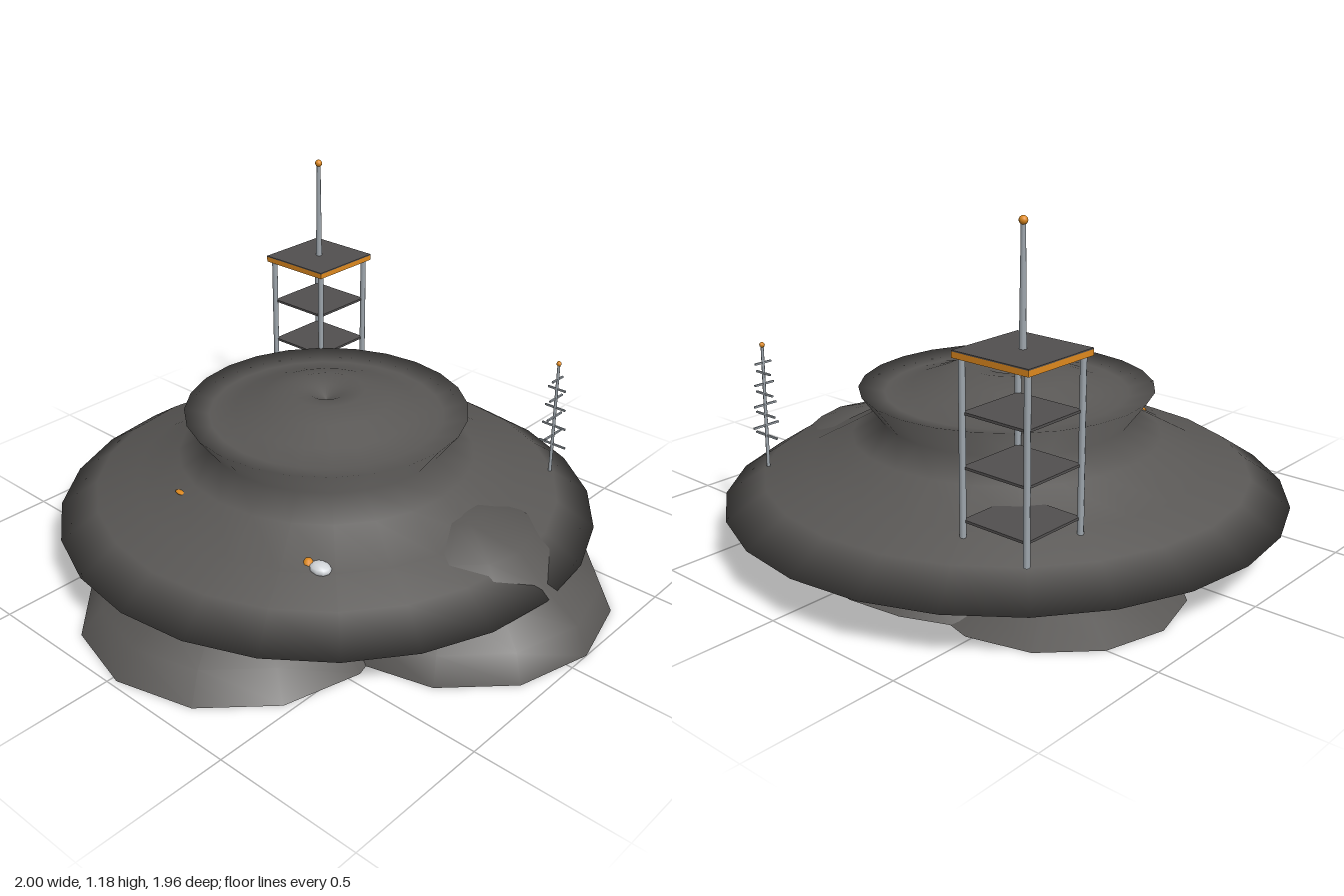
import * as THREE from 'three';

function material(name, color, side = THREE.FrontSide) {
  const m = new THREE.MeshStandardMaterial({ color, side });
  m.name = name;
  return m;
}

export function createModel() {
  const model = new THREE.Group();
  model.name = 'saucerStation';
  const hullGrey = material('hullGrey', 0x595755, THREE.DoubleSide);
  const deckGrey = material('deckGrey', 0x525050);
  const steel = material('steel', 0xa0a8af);
  const white = material('white', 0xd4d8dc);
  const orange = material('orange', 0xe08a1e);

  function add(parent, name, geometry, mat, x = 0, y = 0, z = 0) {
    const mesh = new THREE.Mesh(geometry, mat);
    mesh.name = name;
    mesh.position.set(x, y, z);
    parent.add(mesh);
    return mesh;
  }
  function group(name, x, y, z) {
    const g = new THREE.Group();
    g.name = name;
    g.position.set(x, y, z);
    model.add(g);
    return g;
  }
  const post = (r0, r1, h) => new THREE.CylinderGeometry(r1, r0, h, 8);
  const lathe = (points, sides) =>
    new THREE.LatheGeometry(points.map(([r, y]) => new THREE.Vector2(r, y)), sides);

  // Hollow saucer hull: flared foot, wide rim, flared collar and dimpled crown
  add(model, 'saucerHull', lathe([
    [0.71, 0], [0.66, 0.05], [0.62, 0.085], [0.93, 0.15], [0.80, 0.235], [0.66, 0.272],
    [0.51, 0.355], [0.41, 0.41], [0.485, 0.51], [0.40, 0.492], [0.31, 0.515], [0.22, 0.55],
    [0.13, 0.575], [0.06, 0.565], [0, 0.535],
  ], 24), hullGrey, -0.07, 0, -0.055);

  // Three hollow mounds around the foot
  add(model, 'rightMound', lathe([
    [0.51, 0], [0.47, 0.09], [0.34, 0.17], [0.24, 0.26], [0.08, 0.31], [0, 0.315],
  ], 12), hullGrey, 0.49, 0, -0.08);
  add(model, 'frontMound', lathe([
    [0.52, 0], [0.45, 0.085], [0.32, 0.135], [0.2, 0.22], [0.08, 0.28], [0, 0.287],
  ], 12), hullGrey, 0.02, 0, 0.46);
  add(model, 'rearMound', lathe([
    [0.4, 0], [0.29, 0.05], [0.2, 0.09], [0, 0.12],
  ], 12), hullGrey, -0.48, 0, -0.3);

  // Ribbed thrusters with orange collars under the hull
  for (const [x, y, z] of [[0.285, 0.18, -0.05], [-0.28, 0.15, -0.44]]) {
    const thruster = group('thruster', x, y, z);
    add(thruster, 'thrusterCore', new THREE.CylinderGeometry(0.1, 0.1, 0.17, 20), deckGrey, 0, 0.085, 0);
    for (let i = 0; i < 14; i++) {
      const a = (i / 14) * Math.PI * 2;
      const rib = add(thruster, 'thrusterRib', new THREE.BoxGeometry(0.034, 0.17, 0.02), white,
        Math.sin(a) * 0.108, 0.085, Math.cos(a) * 0.108);
      rib.rotation.y = a;
    }
    const collar = new THREE.TorusGeometry(0.125, 0.015, 8, 24);
    collar.rotateX(Math.PI / 2);
    add(thruster, 'thrusterCollar', collar, orange);
  }

  // Small lights breaking through the front of the hull
  const lamp = new THREE.SphereGeometry(0.04, 10, 6);
  lamp.scale(1, 0.5, 0.8);
  add(model, 'lamp', lamp, white, 0.345, 0.278, 0.425);
  add(model, 'lampCap', new THREE.SphereGeometry(0.02, 8, 6), orange, 0.304, 0.28, 0.434);
  const marker = new THREE.SphereGeometry(0.024, 8, 6);
  marker.scale(1, 0.25, 0.5);
  add(model, 'marker', marker, orange, -0.24, 0.33, 0.468);

  // Lookout tower
  const tower = group('tower', -0.535, 0, -0.52);
  for (const sx of [-1, 1]) for (const sz of [-1, 1]) {
    add(tower, 'towerLeg', post(0.01, 0.01, 0.56), steel, sx * 0.118, 0.525, sz * 0.118);
  }
  for (const y of [0.635, 0.475, 0.315]) {
    add(tower, 'towerFloor', new THREE.BoxGeometry(0.236, 0.008, 0.236), deckGrey, 0, y, 0);
  }
  // Deck plate with an orange trim below its edge
  add(tower, 'topDeck', new THREE.BoxGeometry(0.276, 0.004, 0.276), deckGrey, 0, 0.814, 0);
  for (const s of [-1, 1]) {
    add(tower, 'deckTrimSide', new THREE.BoxGeometry(0.014, 0.018, 0.276), orange, s * 0.131, 0.803, 0);
    add(tower, 'deckTrimEnd', new THREE.BoxGeometry(0.276, 0.018, 0.014), orange, 0, 0.803, s * 0.131);
  }
  add(tower, 'mast', post(0.011, 0.007, 0.36), steel, 0, 0.99, 0);
  add(tower, 'mastBeacon', new THREE.SphereGeometry(0.013, 10, 8), orange, 0, 1.17, 0);

  // Aerial with crossed rungs
  const aerial = group('aerial', 0.49, 0, -0.61);
  add(aerial, 'aerialPole', post(0.006, 0.005, 0.41), steel, 0, 0.445, 0);
  add(aerial, 'aerialBeacon', new THREE.SphereGeometry(0.009, 8, 6), orange, 0, 0.655, 0);
  for (let i = 0; i < 8; i++) {
    const length = 0.105 - i * 0.006;
    const rung = add(aerial, 'aerialRung', new THREE.BoxGeometry(length, 0.006, 0.006), steel, 0, 0.347 + i * 0.0355, 0);
    rung.rotation.y = (i % 2) * Math.PI / 2;
  }
  return model;
}
